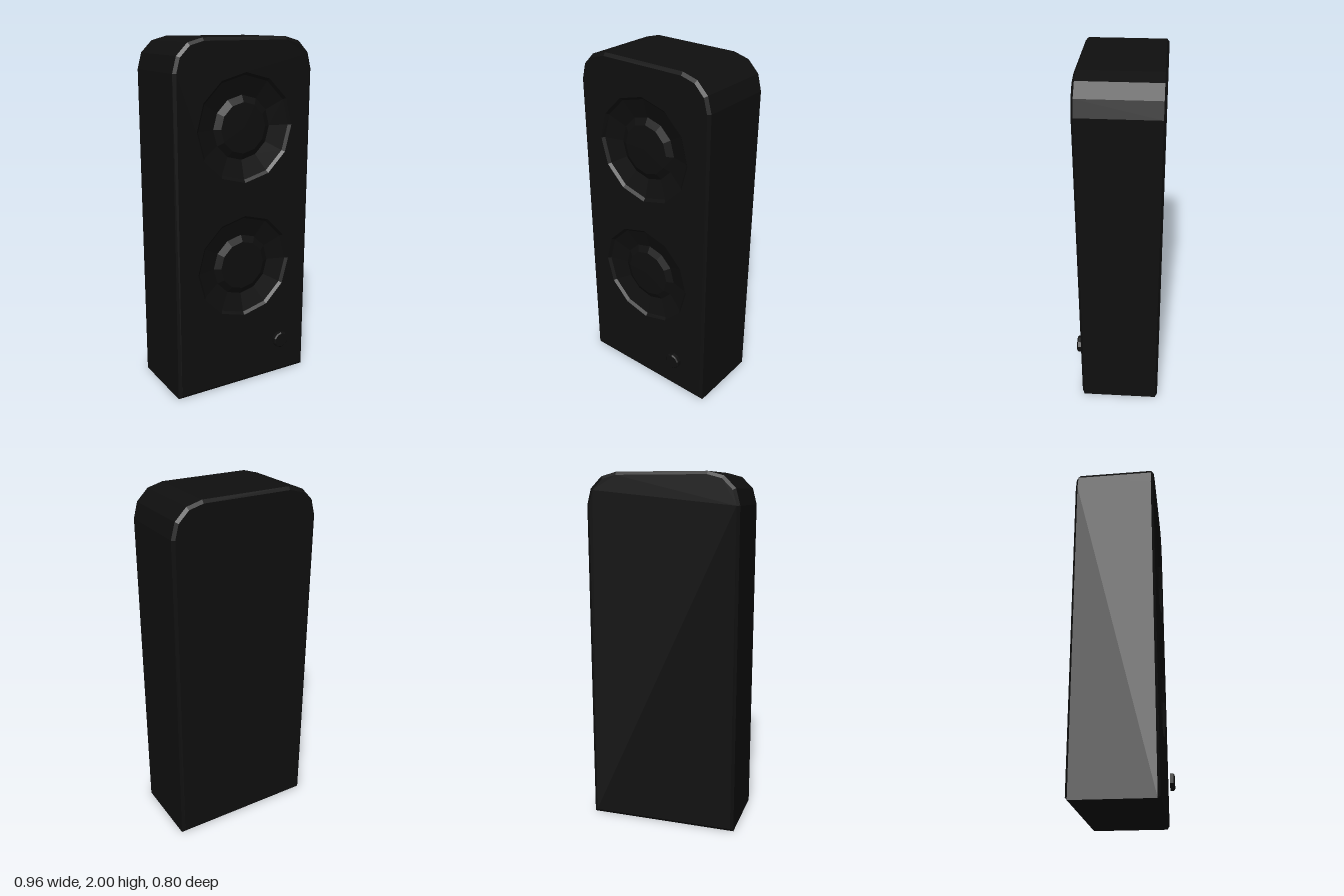
import * as THREE from 'three';

const W = 0.429, H = 2, D = 0.228, R = 0.175; // half width, height, half depth, top corner radius
const SIDES = 12, CONE_R = 0.3, CONE_Y = [0.73, 1.52];

const material = new THREE.MeshStandardMaterial({ color: 0x0f0f0f, flatShading: true });

function add(parent, name, geometry, x = 0, y = 0, z = 0) {
  const mesh = new THREE.Mesh(geometry, material);
  mesh.name = name;
  mesh.position.set(x, y, z);
  parent.add(mesh);
  return mesh;
}

// Cabinet outline, counter-clockwise, with faceted round top corners
function outline(inset) {
  const w = W - inset, r = R - inset, pts = [[-w, inset], [w, inset]];
  for (const [cx, start] of [[W - R, 0], [R - W, Math.PI / 2]]) {
    for (let i = 0; i <= 3; i++) {
      const a = start + i * Math.PI / 6;
      pts.push([cx + r * Math.cos(a), H - R + r * Math.sin(a)]);
    }
  }
  return pts.map(([x, y]) => new THREE.Vector2(x, y));
}

// Side wall with a narrow chamfer at the front and back
function shellGeometry(inset, chamfer) {
  const rings = [[inset, -D], [0, chamfer - D], [0, D - chamfer], [inset, D]]
    .map(([s, z]) => outline(s).map(p => [p.x, p.y, z]));
  const n = rings[0].length, pos = [];
  for (let j = 0; j < 3; j++) {
    for (let i = 0; i < n; i++) {
      const k = (i + 1) % n;
      const a = rings[j][i], b = rings[j][k], c = rings[j + 1][k], d = rings[j + 1][i];
      pos.push(...a, ...b, ...c, ...a, ...c, ...d);
    }
  }
  const g = new THREE.BufferGeometry();
  g.setAttribute('position', new THREE.Float32BufferAttribute(pos, 3));
  g.computeVertexNormals();
  return g;
}

// Turned part whose axis points forward; profile is [radius, depth]
function turned(profile, sides) {
  const pts = profile.map(([r, z]) => new THREE.Vector2(r, z));
  return new THREE.LatheGeometry(pts, sides).rotateX(Math.PI / 2);
}

export function createModel() {
  const group = new THREE.Group();
  group.name = 'loudspeaker';
  const body = new THREE.Group();
  body.name = 'cabinet';
  body.rotation.y = THREE.MathUtils.degToRad(29);
  group.add(body);

  const inset = 0.017;
  add(body, 'cabinetShell', shellGeometry(inset, 0.013));
  add(body, 'backPanel', new THREE.ShapeGeometry(new THREE.Shape(outline(inset))).rotateY(Math.PI), 0, 0, -D);

  // Front panel with a cut-out for each driver
  const front = new THREE.Shape(outline(inset));
  for (const y of CONE_Y) {
    const pts = [];
    for (let i = 0; i < SIDES; i++) {
      const a = i * 2 * Math.PI / SIDES;
      pts.push(new THREE.Vector2(CONE_R * Math.cos(a), y + CONE_R * Math.sin(a)));
    }
    front.holes.push(new THREE.Path(pts));
  }
  add(body, 'frontPanel', new THREE.ShapeGeometry(front), 0, 0, D);

  // Recessed drivers: rim, shallow cone and raised dust cap
  CONE_Y.forEach((y, i) => {
    const driver = new THREE.Group();
    driver.name = i ? 'upperDriver' : 'lowerDriver';
    driver.position.set(0, y, D);
    body.add(driver);
    add(driver, 'cone', turned([[CONE_R, 0], [0.285, -0.015], [0.178, -0.045]], SIDES));
    add(driver, 'dustCap', turned([[0.178, -0.045], [0.14, -0.025], [0, -0.022]], SIDES));
  });

  // Control knob standing just off the front panel
  add(body, 'knob', turned([[0, 0], [0.049, 0], [0.049, 0.02], [0.042, 0.026], [0, 0.026]], 10), 0.236, 0.23, 0.247);

  return group;
}
